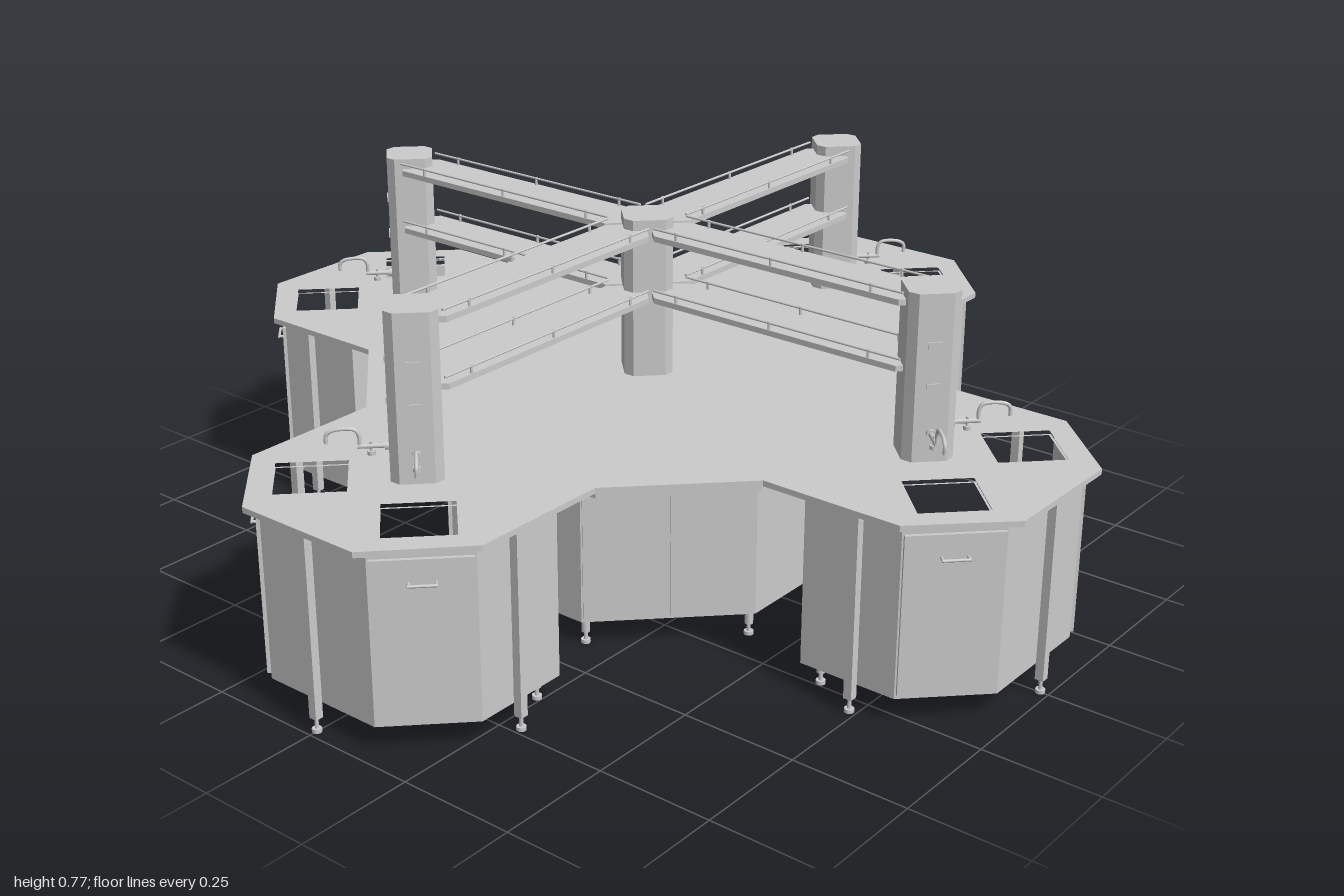
import * as THREE from 'three';

const grey = new THREE.MeshStandardMaterial({ color: 0xcccccc, flatShading: true });
const smooth = new THREE.MeshStandardMaterial({ color: 0xcccccc });

function add(parent, name, geometry, x = 0, y = 0, z = 0, material = grey) {
  const mesh = new THREE.Mesh(geometry, material);
  mesh.name = name;
  mesh.position.set(x, y, z);
  parent.add(mesh);
  return mesh;
}

function box(parent, name, w, h, d, x, y, z) {
  return add(parent, name, new THREE.BoxGeometry(w, h, d), x, y, z);
}

function rod(parent, name, r, length, x, y, z, axis = 'y') {
  const g = new THREE.CylinderGeometry(r, r, length, 10);
  if (axis === 'z') g.rotateX(Math.PI / 2);
  if (axis === 'x') g.rotateZ(Math.PI / 2);
  return add(parent, name, g, x, y, z, smooth);
}

const toVectors = (points) => points.map(([x, z]) => new THREE.Vector2(x, -z));

// Horizontal plate from an outline in (x, z), rising from y by height
function slab(parent, name, points, y, height, holes = []) {
  const shape = new THREE.Shape(toVectors(points));
  shape.holes = holes.map((hole) => new THREE.Path(toVectors(hole)));
  const g = new THREE.ExtrudeGeometry(shape, { depth: height, bevelEnabled: false });
  g.rotateX(-Math.PI / 2);
  return add(parent, name, g, 0, y, 0);
}

// Completes an outline by mirroring its +x half
const mirrored = (half) => [...half, ...half.map(([x, z]) => [-x, z]).reverse()];

// Same corner repeated at four quarter turns
function fourfold(corners) {
  const out = [];
  for (let k = 0; k < 4; k++) {
    for (const [x, z] of corners) {
      out.push([[x, z], [z, -x], [-x, -z], [-z, x]][k]);
    }
  }
  return out;
}

// Group standing at (x, z) whose local +z faces the given angle
function facing(parent, name, x, z, angle) {
  const group = new THREE.Group();
  group.name = name;
  group.position.set(x, 0, z);
  group.rotation.y = angle;
  parent.add(group);
  return group;
}

function diamond(cx, cz, r) {
  return [[cx + r, cz], [cx, cz + r], [cx - r, cz], [cx, cz - r]];
}

function leg(parent, x, z, top) {
  if (top > 0.1) box(parent, 'legPost', 0.018, top - 0.03, 0.018, x, (top + 0.03) / 2, z);
  else rod(parent, 'shortLeg', 0.009, top - 0.025, x, (top + 0.025) / 2, z);
  rod(parent, 'footStem', 0.004, 0.03, x, 0.02, z);
  rod(parent, 'footPad', 0.01, 0.008, x, 0.004, z);
}

function door(parent, width, x, handleX) {
  box(parent, 'door', width - 0.005, 0.335, 0.01, x, 0.232, 0.003);
  rod(parent, 'doorHandle', 0.003, 0.055, handleX, 0.353, 0.022, 'x');
  for (const s of [-1, 1]) rod(parent, 'handleEnd', 0.003, 0.016, handleX + s * 0.025, 0.353, 0.015, 'z');
}

// Diamond-plan service pillar with clipped corners
function pillar(parent, z) {
  const plan = fourfold([[0.012, 0.06], [0.06, 0.012]]).map(([x, pz]) => [x, pz + z]);
  slab(parent, 'pillar', plan, 0.43, 0.343);
}

function faucet(parent) {
  rod(parent, 'faucetFlange', 0.009, 0.008, 0, 0.49, 0.004, 'z');
  rod(parent, 'faucetInlet', 0.005, 0.06, 0, 0.49, 0.03, 'z');
  rod(parent, 'valveStem', 0.003, 0.024, 0, 0.487, 0.034);
  rod(parent, 'valveKnob', 0.008, 0.008, 0, 0.476, 0.034);
  const path = new THREE.CatmullRomCurve3([
    [0.056, 0.486], [0.056, 0.512], [0.064, 0.524], [0.105, 0.524], [0.117, 0.516], [0.118, 0.498],
  ].map(([z, y]) => new THREE.Vector3(0, y, z)));
  add(parent, 'spout', new THREE.TubeGeometry(path, 24, 0.004, 8), 0, 0, 0, smooth);
}

function basin(parent, x, z) {
  slab(parent, 'basinWalls', diamond(x, z, 0.106), 0.34, 0.08, [diamond(x, z, 0.099)]);
  slab(parent, 'basinFloor', diamond(x, z, 0.104), 0.336, 0.006);
  rod(parent, 'drain', 0.012, 0.004, x, 0.343, z);
}

// Two boards between pillars, each with guard rails
function shelves(parent) {
  const plan = mirrored([[0.03, 0.037], [0.058, 0.066], [0.058, 0.655], [0.04, 0.67]]);
  for (const y of [0.605, 0.739]) {
    slab(parent, 'shelf', plan, y, 0.012);
    for (const s of [-1, 1]) {
      rod(parent, 'guardRail', 0.0025, 0.6, s * 0.054, y + 0.026, 0.362, 'z');
      for (const z of [0.12, 0.355, 0.59]) rod(parent, 'railPost', 0.003, 0.022, s * 0.054, y + 0.018, z);
    }
  }
}

// One workstation, pointing along +z
function workstation() {
  const arm = new THREE.Group();
  arm.name = 'workstation';
  const sides = [-1, 1];

  const sinks = sides.map((s) => diamond(s * 0.143, 0.832, 0.099));
  slab(arm, 'sinkWorktop', mirrored([[0.305, 0.53], [0.305, 0.835], [0.145, 1]]), 0.418, 0.012, sinks);

  // Hollow cabinet
  const outer = mirrored([[0.28, 0.61], [0.28, 0.825], [0.14, 0.965]]);
  const inner = mirrored([[0.272, 0.618], [0.272, 0.822], [0.137, 0.957]]);
  slab(arm, 'cabinetWalls', outer, 0.06, 0.358, [inner]);
  slab(arm, 'cabinetBottom', outer, 0.055, 0.01);

  leg(arm, 0, 0.982, 0.418);
  pillar(arm, 0.69);
  shelves(arm);

  for (const s of sides) {
    const angle = s * Math.PI / 4;
    basin(arm, s * 0.143, 0.832);
    leg(arm, s * 0.293, 0.735, 0.418);
    leg(arm, s * 0.24, 0.632, 0.06);
    door(facing(arm, 'cornerDoor', s * 0.21, 0.895, angle), 0.196, 0, 0);

    const face = facing(arm, 'pillarServices', s * 0.036, 0.726, angle);
    faucet(face);
    for (const y of [0.585, 0.67]) box(face, 'socket', 0.026, 0.014, 0.004, 0, y, 0.001);
  }
  return arm;
}

export function createModel() {
  const model = new THREE.Group();
  model.name = 'crossWorkbench';

  // Central worktop, its backing board and octagonal cabinet
  const centre = fourfold([[0.305, 0.53], [0.53, 0.305]]);
  slab(model, 'centreWorktop', centre, 0.418, 0.012);
  slab(model, 'worktopBacking', centre.map(([x, z]) => [x * 0.99, z * 0.99]), 0.405, 0.013);
  slab(model, 'centreCabinet', fourfold([[0.176, 0.425], [0.425, 0.176]]), 0.055, 0.35);
  pillar(model, 0);

  for (let k = 0; k < 4; k++) {
    const turn = k * Math.PI / 2;
    const arm = workstation();
    arm.rotation.y = turn;
    model.add(arm);

    const quarter = facing(model, 'centreQuarter', 0, 0, turn);
    for (const s of [-1, 1]) leg(quarter, s * 0.17, 0.405, 0.06);
    const pair = facing(quarter, 'doublDoors'.replace('doubl', 'double'), 0.3005, 0.3005, Math.PI / 4);
    for (const s of [-1, 1]) door(pair, 0.175, s * 0.0875, s * 0.062);
  }
  return model;
}
